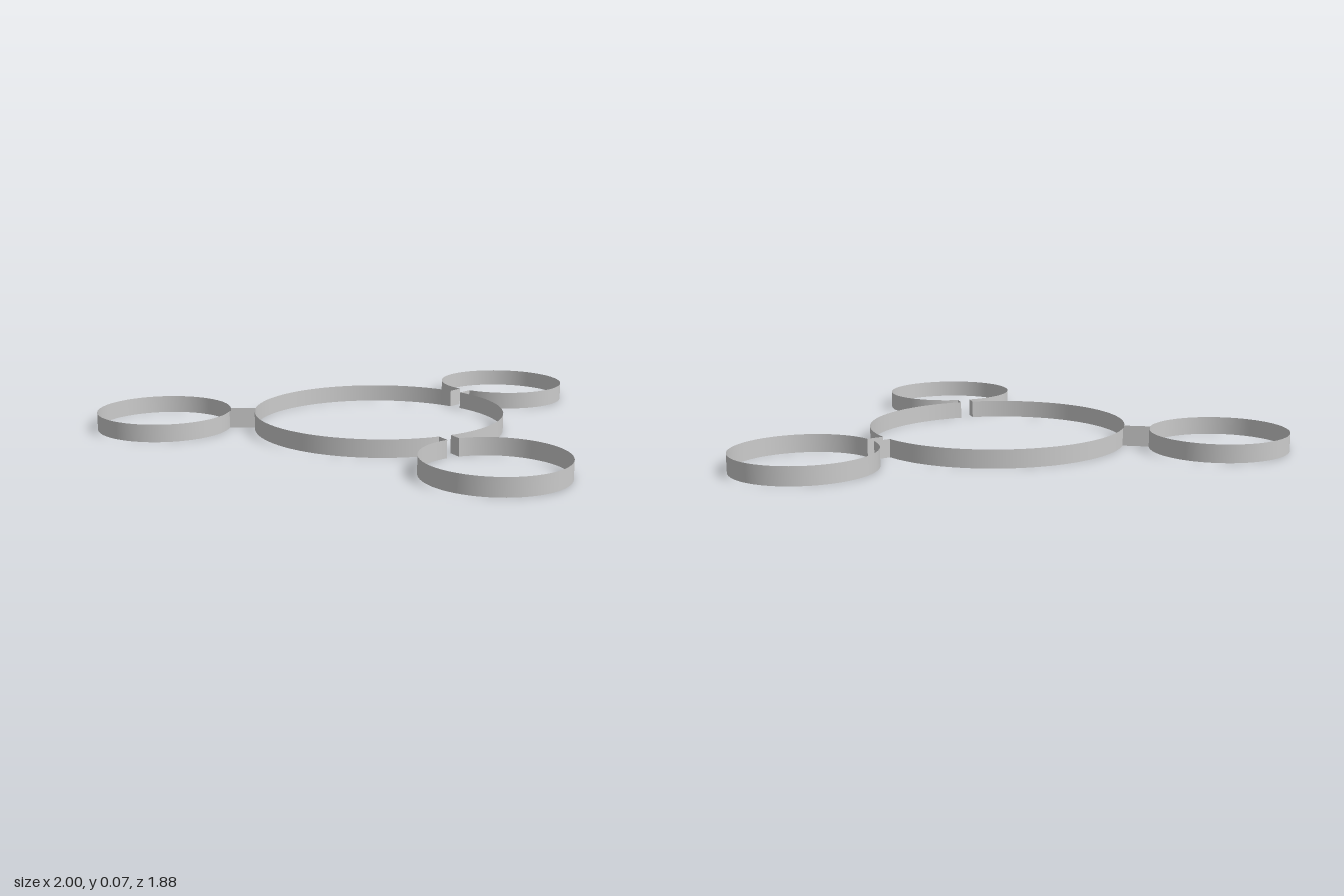
import * as THREE from 'three';

const HEIGHT = 0.07;
const HUB = { x: 0.146, z: -0.07, r: 0.506 };
const LOOP_R = 0.27;
const HALF_GAP = 0.026;
const LOOPS = [
  { name: 'left', x: 0.728, z: -0.676 },
  { name: 'front', x: 0.528, z: 0.668 },
  { name: 'right', x: -0.73, z: -0.07 },
];

const material = new THREE.MeshStandardMaterial({ color: 0xcccccc, side: THREE.DoubleSide });

// Thin upright wall following a circular arc (angle measured from +z towards +x)
function arcWall(name, x, z, r, start, length) {
  const segments = Math.max(8, Math.ceil(length / (Math.PI * 2) * 128));
  const mesh = new THREE.Mesh(
    new THREE.CylinderGeometry(r, r, HEIGHT, segments, 1, true, start, length), material);
  mesh.name = name;
  mesh.position.set(x, HEIGHT / 2, z);
  return mesh;
}

export function createModel() {
  const model = new THREE.Group();
  model.name = 'threeLoopFrame';
  const hubGap = Math.asin(HALF_GAP / HUB.r);
  const loopGap = Math.asin(HALF_GAP / LOOP_R);

  const spokes = LOOPS.map((loop) => {
    const dx = loop.x - HUB.x, dz = loop.z - HUB.z;
    return { ...loop, angle: Math.atan2(dx, dz), dist: Math.hypot(dx, dz) };
  }).sort((a, b) => a.angle - b.angle);

  spokes.forEach((s, i) => {
    // Hub arc from this opening to the next one
    const next = spokes[(i + 1) % 3].angle + (i === 2 ? Math.PI * 2 : 0);
    model.add(arcWall('hubRing', HUB.x, HUB.z, HUB.r, s.angle + hubGap, next - s.angle - 2 * hubGap));

    // Outer loop, open towards the hub
    model.add(arcWall(s.name + 'Loop', s.x, s.z, LOOP_R,
      s.angle + Math.PI + loopGap, Math.PI * 2 - 2 * loopGap));

    // Pair of straight walls joining hub and loop
    const inner = HUB.r * Math.cos(hubGap);
    const outer = s.dist - LOOP_R * Math.cos(loopGap);
    const neck = new THREE.Group();
    neck.name = s.name + 'Neck';
    neck.position.set(HUB.x, HEIGHT / 2, HUB.z);
    neck.rotation.y = s.angle;
    for (const side of [-1, 1]) {
      const wall = new THREE.Mesh(new THREE.PlaneGeometry(outer - inner, HEIGHT), material);
      wall.name = 'neckWall';
      wall.rotation.y = side * Math.PI / 2;
      wall.position.set(side * HALF_GAP, 0, (inner + outer) / 2);
      neck.add(wall);
    }
    model.add(neck);
  });
  return model;
}
